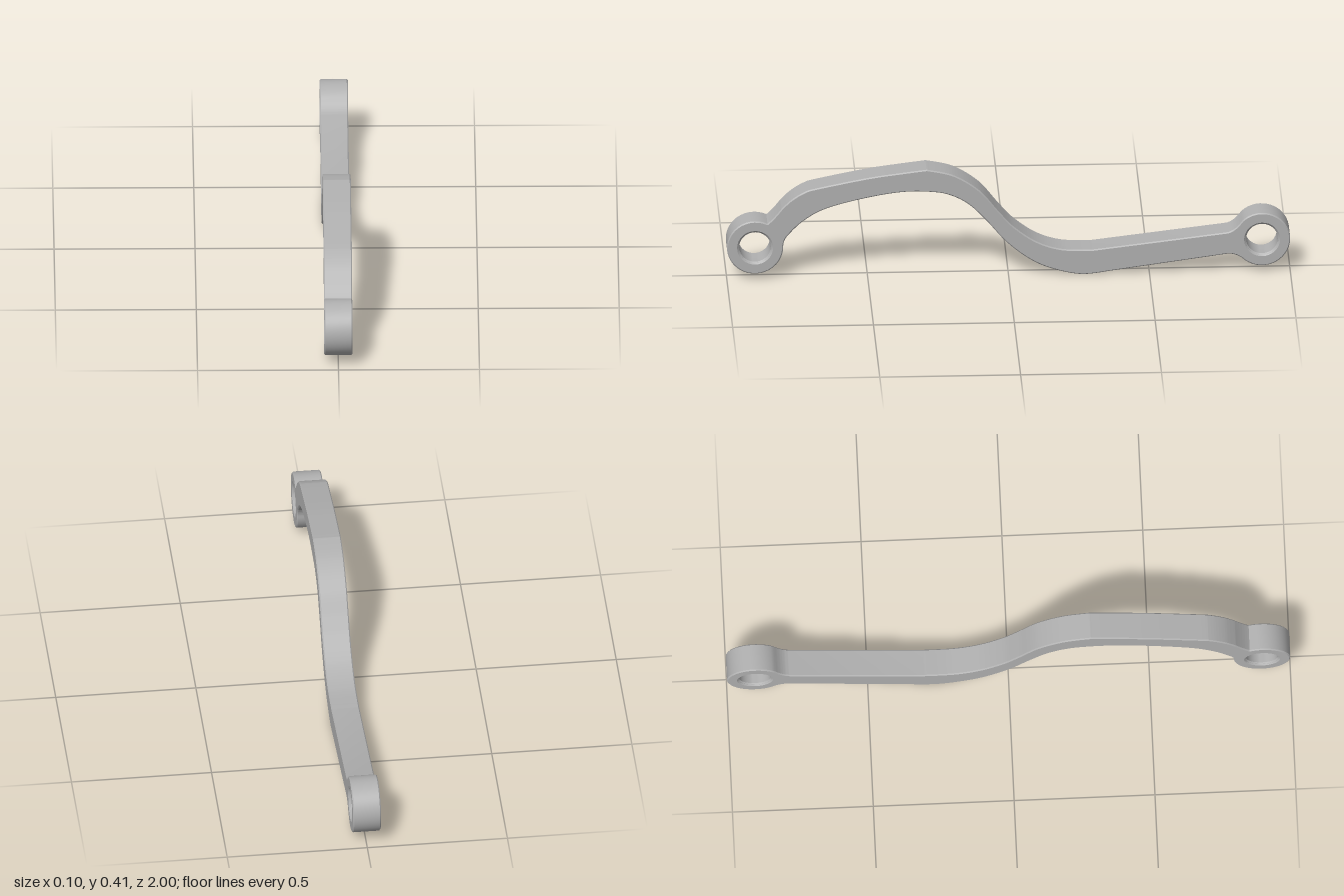
import * as THREE from 'three';
import { toCreasedNormals } from 'three/addons/utils/BufferGeometryUtils.js';

const HALF = 0.05;      // half thickness across x
const BEVEL = 0.004;
const HUB_Y = 0.125, HUB_Z = 0.9, HUB_R = 0.1, HOLE_R = 0.06;

const rad = THREE.MathUtils.degToRad;
const pts = (list) => list.map(([z, y]) => new THREE.Vector2(z, y));

// Side outline in (z, y), counter-clockwise
function armShape() {
  const s = new THREE.Shape();
  const a0 = rad(-176), a1 = rad(116);
  const start = [HUB_Z + HUB_R * Math.cos(a0), HUB_Y + HUB_R * Math.sin(a0)];

  // front eye
  s.absarc(HUB_Z, HUB_Y, HUB_R, a0, a1, false);
  // upper edge: neck, shoulder, shallow crown
  s.quadraticCurveTo(0.835, 0.232, 0.805, 0.272);
  s.splineThru(pts([[0.77, 0.305], [0.725, 0.333], [0.68, 0.347], [0.5, 0.383], [0.38, 0.4], [0.29, 0.411]]));
  // upper edge: S bend down to the straight part
  s.splineThru(pts([[0.195, 0.388], [0.105, 0.33], [0.034, 0.246], [-0.02, 0.187],
    [-0.1, 0.13], [-0.19, 0.1], [-0.3, 0.096]]));
  s.lineTo(-0.775, 0.153);
  // rear eye
  const b0 = rad(45), b1 = rad(315);
  s.quadraticCurveTo(-0.803, 0.158, -HUB_Z + HUB_R * Math.cos(b0), HUB_Y + HUB_R * Math.sin(b0));
  s.absarc(-HUB_Z, HUB_Y, HUB_R, b0, b1, false);
  // lower edge
  s.quadraticCurveTo(-0.803, 0.074, -0.775, 0.071);
  s.lineTo(-0.37, 0.015);
  s.splineThru(pts([[-0.26, 0.003], [-0.155, 0.026], [-0.075, 0.064], [0.007, 0.13], [0.076, 0.21],
    [0.14, 0.275], [0.206, 0.312], [0.275, 0.326], [0.38, 0.327], [0.515, 0.305],
    [0.65, 0.268], [0.73, 0.222], [0.785, 0.168]]));
  s.quadraticCurveTo(0.802, 0.145, start[0], start[1]);

  // eye holes
  for (const z of [HUB_Z, -HUB_Z]) {
    const hole = new THREE.Path();
    hole.absarc(z, HUB_Y, HOLE_R, 0, Math.PI * 2, true);
    s.holes.push(hole);
  }
  return s;
}

export function createModel() {
  const group = new THREE.Group();
  group.name = 'linkArm';
  const metal = new THREE.MeshStandardMaterial({ color: 0xb0b0b0 });
  metal.name = 'grey metal';

  // Arm with both eyes, extruded across x
  let armGeo = new THREE.ExtrudeGeometry(armShape(), {
    depth: 2 * (HALF - BEVEL), curveSegments: 16, bevelEnabled: true,
    bevelThickness: BEVEL, bevelSize: BEVEL, bevelOffset: -BEVEL, bevelSegments: 1,
  });
  armGeo.translate(0, 0, -(HALF - BEVEL));
  armGeo.rotateY(-Math.PI / 2);
  armGeo = toCreasedNormals(armGeo, rad(25));
  const arm = new THREE.Mesh(armGeo, metal);
  arm.name = 'arm';
  group.add(arm);

  // Chamfered bore liners; profile runs downward so the faces look inward
  const profile = pts([[0.0645, HALF], [0.056, HALF - 0.009], [0.056, -HALF + 0.009], [0.0645, -HALF]]);
  const boreGeo = toCreasedNormals(new THREE.LatheGeometry(profile, 40).toNonIndexed(), rad(25));
  boreGeo.rotateZ(Math.PI / 2);
  for (const [name, z] of [['frontBore', HUB_Z], ['rearBore', -HUB_Z]]) {
    const bore = new THREE.Mesh(boreGeo, metal);
    bore.name = name;
    bore.position.set(0, HUB_Y, z);
    group.add(bore);
  }
  return group;
}
